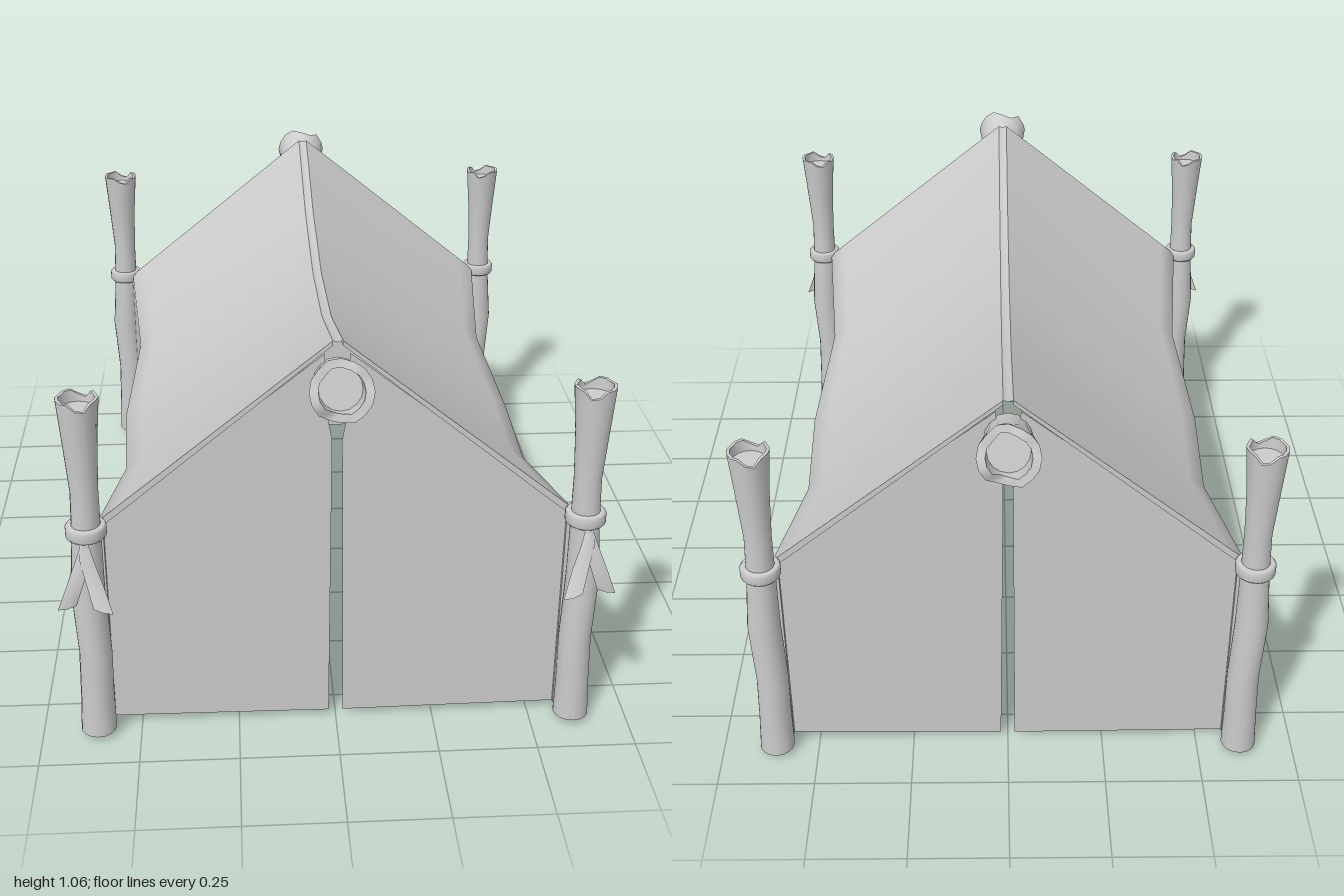
import * as THREE from 'three';
import { mergeGeometries } from 'three/addons/utils/BufferGeometryUtils.js';

const material = new THREE.MeshStandardMaterial({ color: 0xcccccc, side: THREE.DoubleSide });

// Smooth surface through rows of points; wrap closes every row into a ring
function grid(rows, wrap = false) {
  const n = rows[0].length, index = [];
  for (let i = 0; i < rows.length - 1; i++) {
    for (let j = 0; j < (wrap ? n : n - 1); j++) {
      const k = (j + 1) % n;
      const a = i * n + j, b = i * n + k, c = a + n, d = b + n;
      index.push(a, c, b, b, c, d);
    }
  }
  const geometry = new THREE.BufferGeometry();
  geometry.setAttribute('position', new THREE.Float32BufferAttribute(rows.flat(2), 3));
  geometry.setIndex(index);
  geometry.computeVertexNormals();
  return geometry;
}

function part(name, geometries) {
  const mesh = new THREE.Mesh(mergeGeometries(geometries), material);
  mesh.name = name;
  return mesh;
}

// Log along y with a chipped, hollowed top. Each section is [y, radius, x, z].
const SIDES = 16;
const CHIPS = [0, 0, 0.1, 0, 0.8, 1, 0.1, 0, 0, 0.3, 0, 0.9, 0.6, 0, 0, 0.2];
function logGeometries(sections, rim, chip, recess) {
  const ring = ([y, r, x, z], drop = 0) => Array.from({ length: SIDES }, (_, j) => {
    const t = (j / SIDES) * Math.PI * 2;
    return [x + r * Math.cos(t), y - drop * CHIPS[j], z + r * Math.sin(t)];
  });
  const [y, r, x, z] = sections.at(-1);
  const first = sections[0];
  const outer = sections.map((s, i) => ring(s, i === sections.length - 1 ? chip : 0));
  const inner = ring([y, r * rim, x, z], chip);
  const floor = ring([y - recess, r * rim * 0.95, x, z]);
  return [
    grid(outer, true),
    grid([outer.at(-1), inner], true),
    grid([inner, floor], true),
    grid([floor, ring([y - recess, 0, x, z])], true),
    grid([ring([first[0], 0, first[2], first[3]]), outer[0]], true),
  ];
}

// Cloth cross-sections, front to back: [z, ridge y, eave y, side x, hem y]
const STATIONS = [
  [0.84, 1.06, 0.6, 0.58, 0.02],
  [0.42, 0.95, 0.52, 0.538, 0.01],
  [0, 0.91, 0.47, 0.565, 0],
  [-0.42, 0.95, 0.52, 0.538, 0.01],
  [-0.84, 1.06, 0.6, 0.58, 0.02],
];

function clothSide() {
  const thick = 0.012;
  // Narrow bands beside the eave keep its bend tight
  const outer = STATIONS.map(([z, ridge, eave, x, hem]) => [
    [x, hem, z],
    [x, eave - 0.05, z],
    [x, eave, z],
    [x + (0.012 - x) * 0.08, eave + (ridge - eave) * 0.08, z],
    [0.012, ridge, z],
  ]);
  const inner = outer.map(row => row.map(([x, y, z], j) => [
    j === 4 ? x : x - thick, j > 1 ? y - thick : y, z,
  ]));
  const hem = [outer.map(r => r[0]), inner.map(r => r[0])];
  return [
    grid(outer),
    grid(inner.map(r => [...r].reverse())),
    grid([inner[0], outer[0]]),
    grid([outer.at(-1), inner.at(-1)]),
    grid(hem),
  ];
}

// Half of an end wall, leaving a slit at the centre
function endPanel(topGap) {
  const outline = [[0.018, 0.015], [0.57, 0.02], [0.572, 0.592], [0.03, 1.025], [topGap, 0.9], [0.012, 0.8]];
  return new THREE.ShapeGeometry(new THREE.Shape(outline.map(p => new THREE.Vector2(...p))));
}

// Flat tail; each point is [x, y, z, width, tilt of the width]
function ribbon(points) {
  return grid(points.map(([x, y, z, w, tilt]) => [
    [x - w / 2, y - w * tilt / 2, z],
    [x, y, z + 0.006],
    [x + w / 2, y + w * tilt / 2, z],
  ]));
}

export function createModel() {
  const model = new THREE.Group();
  model.name = 'tent';

  // Roof and walls in one sheet per side
  for (const sx of [1, -1]) {
    const cloth = part(sx > 0 ? 'leftCloth' : 'rightCloth', clothSide());
    cloth.scale.x = sx;
    model.add(cloth);
  }
  model.add(part('ridgeSeam', [
    grid(STATIONS.map(([z, y]) => [[0.012, y, z], [0, y - 0.004, z], [-0.012, y, z]])),
  ]));

  // Front and back walls
  for (const sz of [1, -1]) {
    for (const sx of [1, -1]) {
      const panel = part(sz > 0 ? 'frontPanel' : 'backPanel', [endPanel(sz > 0 ? 0.03 : 0.014)]);
      panel.scale.set(sx, 1, sz);
      panel.position.z = 0.832 * sz;
      model.add(panel);
    }
  }

  // Ridge pole ends, tilted upward
  const stub = logGeometries([[0, 0.058, 0, 0], [0.06, 0.061, 0, 0], [0.11, 0.068, 0, 0], [0.163, 0.075, 0, 0]], 0.72, 0.035, 0.05);
  for (const sz of [1, -1]) {
    const pole = part('ridgePoleEnd', stub);
    const holder = new THREE.Group();
    holder.name = sz > 0 ? 'frontRidgePole' : 'backRidgePole';
    pole.rotation.x = Math.PI / 2 - 0.27;
    pole.position.set(0, 0.95, 0.823);
    holder.rotation.y = sz > 0 ? 0 : Math.PI;
    holder.add(pole);
    model.add(holder);
  }

  // Corner posts with binding rings
  const post = logGeometries([
    [0.015, 0.045, 0.608, 0.87],
    [0.12, 0.042, 0.606, 0.87],
    [0.25, 0.041, 0.603, 0.872],
    [0.42, 0.042, 0.612, 0.865],
    [0.58, 0.036, 0.606, 0.868],
    [0.7, 0.034, 0.604, 0.868],
    [0.82, 0.041, 0.606, 0.867],
    [0.945, 0.051, 0.606, 0.865],
  ], 0.84, 0.02, 0.03);
  const band = [[0.034, 0.578], [0.045, 0.577], [0.05, 0.583], [0.05, 0.606], [0.045, 0.612], [0.034, 0.611]];
  const tails = [
    ribbon([[0.608, 0.58, 0.913, 0.02, 0], [0.602, 0.54, 0.928, 0.035, 0.2], [0.588, 0.49, 0.938, 0.042, 0.3], [0.567, 0.424, 0.968, 0.046, 0.35]]),
    ribbon([[0.606, 0.58, 0.915, 0.02, 0], [0.614, 0.54, 0.92, 0.035, -0.2], [0.634, 0.48, 0.936, 0.044, -0.3], [0.657, 0.415, 0.932, 0.046, -0.25]]),
  ];
  for (const sz of [1, -1]) {
    for (const sx of [1, -1]) {
      const corner = new THREE.Group();
      corner.name = (sz > 0 ? 'front' : 'back') + (sx > 0 ? 'Left' : 'Right') + 'Post';
      corner.scale.set(sx, 1, sz);
      corner.add(part('post', post));
      const ring = part('binding', [new THREE.LatheGeometry(band.map(p => new THREE.Vector2(...p)), 20)]);
      ring.position.set(0.606, 0, 0.868);
      corner.add(ring);
      if (sz > 0) corner.add(part('bindingTails', tails));
      model.add(corner);
    }
  }
  return model;
}
